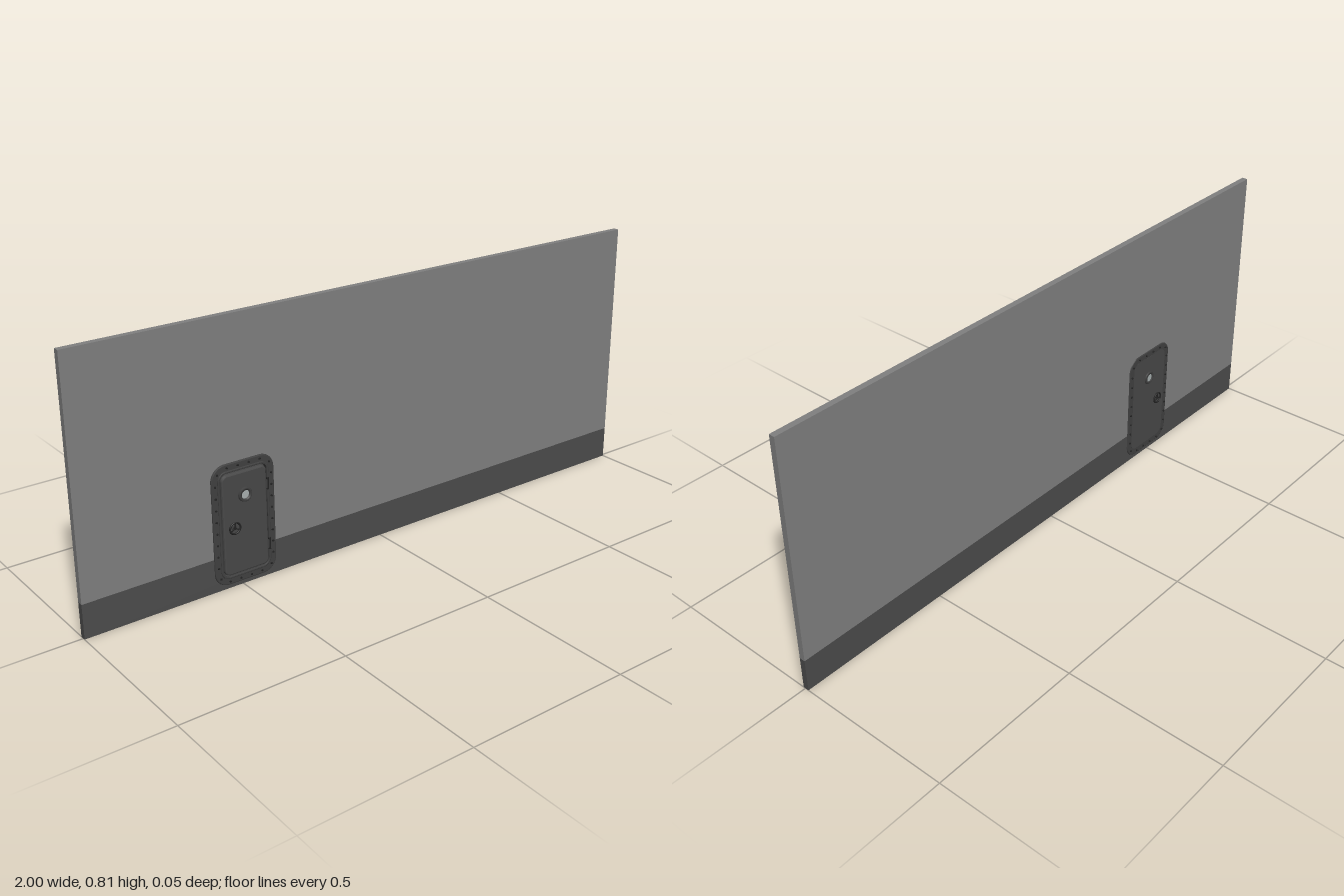
import * as THREE from 'three';

const mat = (color) => new THREE.MeshStandardMaterial({ color });
const DOOR = { x: -0.49, y: 0.2 };

// Rounded rectangle centred on the origin
function roundRect(w, h, r, Type = THREE.Shape) {
  const s = new Type(), a = w / 2, b = h / 2;
  s.moveTo(-a + r, -b);
  s.lineTo(a - r, -b);
  s.absarc(a - r, -b + r, r, -Math.PI / 2, 0, false);
  s.lineTo(a, b - r);
  s.absarc(a - r, b - r, r, 0, Math.PI / 2, false);
  s.lineTo(-a + r, b);
  s.absarc(-a + r, b - r, r, Math.PI / 2, Math.PI, false);
  s.lineTo(-a, -b + r);
  s.absarc(-a + r, -b + r, r, Math.PI, Math.PI * 1.5, false);
  return s;
}

// Extrude a shape so it spans z0..z1, bevel included
function slab(shape, z0, z1, bevel = 0) {
  return new THREE.ExtrudeGeometry(shape, {
    depth: z1 - z0 - 2 * bevel, bevelEnabled: bevel > 0, bevelSize: bevel,
    bevelThickness: bevel, bevelOffset: -bevel, bevelSegments: 2, curveSegments: 8,
  }).translate(0, 0, z0 + bevel);
}

export function createModel() {
  const root = new THREE.Group();
  const wallMat = mat(0x808080), baseMat = mat(0x4c4c4c), frameMat = mat(0x404040);
  const panelMat = mat(0x484848), darkMat = mat(0x242424), glassMat = mat(0xa8b0b0);
  const add = (parent, name, geo, material, x = 0, y = 0, z = 0) => {
    const m = new THREE.Mesh(geo, material);
    m.name = name;
    m.position.set(x, y, z);
    parent.add(m);
    return m;
  };

  // Wall in two painted bands, each notched around the doorway
  const poly = (pts) => new THREE.Shape(pts.map(([x, y]) => new THREE.Vector2(x, y)));
  const L = -0.572, R = -0.408, split = 0.105;
  add(root, 'upperWall', slab(poly([[-1, split], [L, split], [L, 0.36], [R, 0.36],
    [R, split], [1, split], [1, 0.815], [-1, 0.815]]), -0.012, 0.007), wallMat);
  add(root, 'lowerWall', slab(poly([[-1, 0], [1, 0], [1, split], [R, split],
    [R, 0.04], [L, 0.04], [L, split], [-1, split]]), -0.012, 0.007), baseMat);

  const door = new THREE.Group();
  door.name = 'door';
  door.position.set(DOOR.x, DOOR.y, 0);
  root.add(door);

  // Frame ring and raised inner lip
  const frame = roundRect(0.206, 0.374, 0.045);
  frame.holes.push(roundRect(0.156, 0.322, 0.022, THREE.Path));
  add(door, 'frame', slab(frame, -0.015, 0.012, 0.003), frameMat);
  const lip = roundRect(0.168, 0.334, 0.028);
  lip.holes.push(roundRect(0.154, 0.32, 0.021, THREE.Path));
  add(door, 'frameLip', slab(lip, 0.008, 0.015, 0.002), frameMat);

  // Door leaf: bevelled in front, flat plate behind
  add(door, 'doorPanel', slab(roundRect(0.148, 0.312, 0.018), 0, 0.018, 0.005), panelMat);
  add(door, 'backPlate', slab(roundRect(0.164, 0.33, 0.026), -0.0155, 0), panelMat);

  // Bolts around the frame on both faces
  const path = roundRect(0.184, 0.352, 0.036);
  path.closePath();
  const bolt = new THREE.CylinderGeometry(0.0028, 0.0034, 0.004, 6).rotateX(Math.PI / 2);
  path.getSpacedPoints(28).slice(0, 28).forEach((p) => {
    add(door, 'frontBolt', bolt, darkMat, p.x, p.y, 0.0135);
    add(door, 'backBolt', bolt, darkMat, p.x, p.y, -0.0165).rotation.y = Math.PI;
  });

  // Hinges on the side opposite the wheel
  for (const y of [-0.095, 0.095]) {
    add(door, 'hingePin', new THREE.CylinderGeometry(0.004, 0.004, 0.036, 12), darkMat, 0.079, y, 0.0145);
    add(door, 'hingeLeaf', new THREE.BoxGeometry(0.022, 0.026, 0.004), frameMat, 0.073, y, 0.0155);
  }

  // Porthole and handwheel, repeated on each face
  const v = (x, y) => new THREE.Vector2(x, y);
  for (const s of [1, -1]) {
    const side = new THREE.Group();
    side.name = s > 0 ? 'frontFittings' : 'backFittings';
    side.rotation.y = s > 0 ? 0 : Math.PI;
    door.add(side);

    const base = s > 0 ? 0.016 : 0.013, top = s > 0 ? 0.024 : 0.019;
    const ring = new THREE.LatheGeometry([v(0.022, base), v(0.022, top - 0.002), v(0.02, top),
      v(0.014, top), v(0.013, base)], 32).rotateX(Math.PI / 2).scale(1, 1, -1);
    // the rotated lathe points to -z after scaling, so its faces are shown from both sides
    ring.scale(1, 1, Math.sign(ring.attributes.position.getZ(0)) || 1);
    const rim = frameMat.clone();
    rim.side = THREE.DoubleSide;
    ring.computeVertexNormals();
    add(side, 'portholeRim', ring, rim, 0, 0.085, 0);
    add(side, 'portholeGlass', new THREE.CylinderGeometry(0.0138, 0.0138, 0.004, 32).rotateX(Math.PI / 2),
      glassMat, 0, 0.085, base + 0.001);

    const wheel = new THREE.Group();
    wheel.name = 'handwheel';
    wheel.position.set(-0.04 * s, -0.008, 0);
    side.add(wheel);
    add(wheel, 'wheelRim', new THREE.TorusGeometry(0.017, 0.0028, 8, 32), darkMat, 0, 0, 0.0245);
    add(wheel, 'wheelShaft', new THREE.CylinderGeometry(0.004, 0.004, 0.014, 16).rotateX(Math.PI / 2),
      darkMat, 0, 0, 0.0195);
    add(wheel, 'wheelFlange', new THREE.CylinderGeometry(0.008, 0.009, 0.004, 16).rotateX(Math.PI / 2),
      frameMat, 0, 0, s > 0 ? 0.019 : 0.016);
    for (let i = 0; i < 3; i++) {
      const a = Math.PI / 2 + (i * Math.PI * 2) / 3;
      add(wheel, 'wheelSpoke', new THREE.BoxGeometry(0.016, 0.003, 0.003), darkMat,
        0.009 * Math.cos(a), 0.009 * Math.sin(a), 0.0245).rotation.z = a;
    }
  }
  return root;
}
